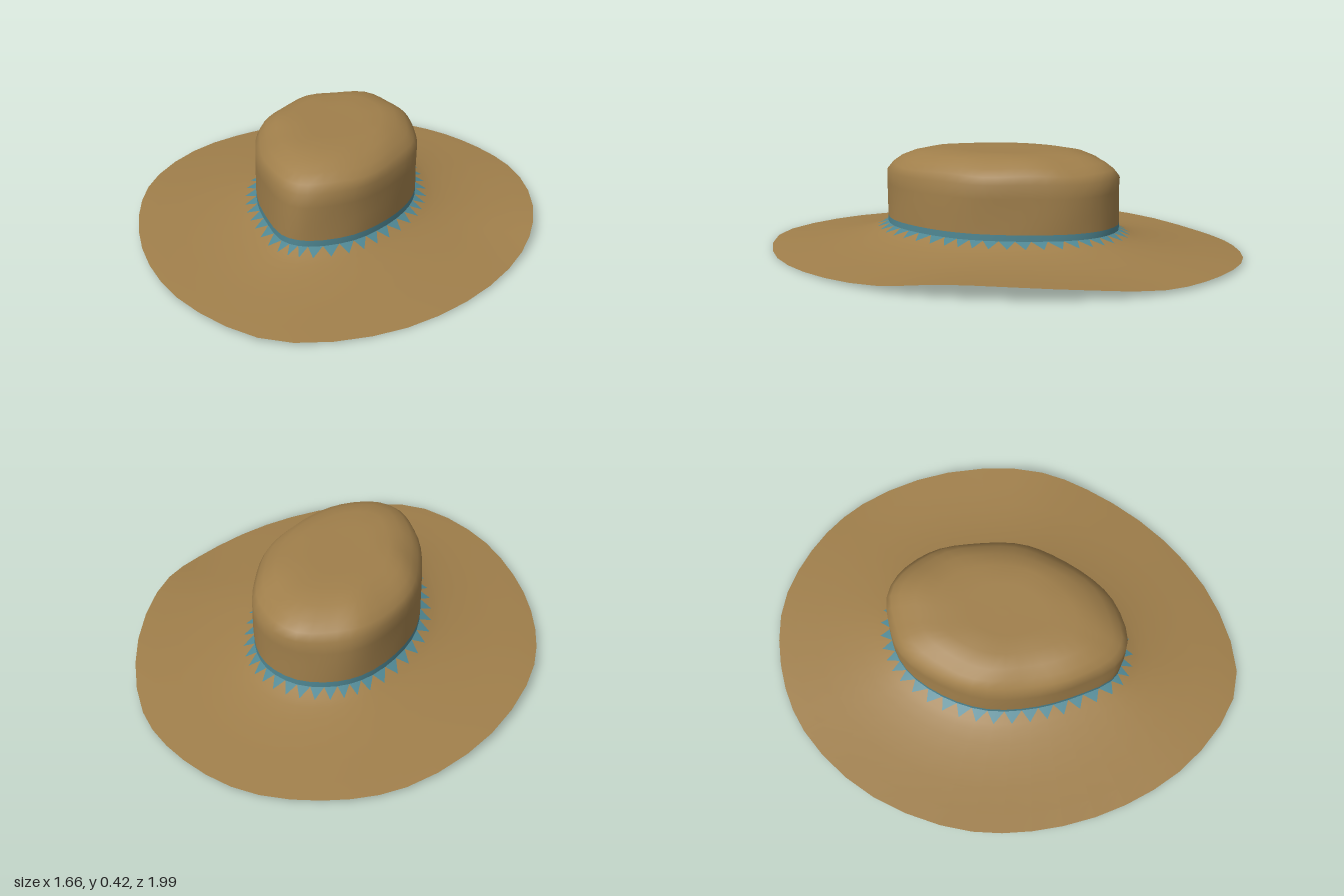
import * as THREE from 'three';

const N = 44; // segments around, one band point per segment

// Outlines run from the back, round by +x, to the front and back again: [x, z] or [x, z, y]
const crownOutline = [
  [0, -0.5], [0.14, -0.46], [0.24, -0.36], [0.305, -0.2], [0.335, -0.03], [0.32, 0.12], [0.25, 0.29], [0.15, 0.42],
  [0, 0.495], [-0.1, 0.475], [-0.21, 0.33], [-0.29, 0.17], [-0.335, -0.02], [-0.315, -0.2], [-0.24, -0.37], [-0.14, -0.46],
];
const brimOutline = [
  [0, -1, 0.015], [0.3, -0.93, 0.015], [0.54, -0.77, 0.015], [0.74, -0.45, 0.045], [0.83, -0.05, 0.055], [0.79, 0.25, 0.02],
  [0.62, 0.6, 0.005], [0.35, 0.87, 0.002], [0, 1, 0.012], [-0.34, 0.87, 0.018], [-0.6, 0.61, 0.018], [-0.77, 0.28, 0.03],
  [-0.83, -0.05, 0.042], [-0.75, -0.45, 0.03], [-0.54, -0.77, 0.01], [-0.3, -0.93, 0.012],
];
const loop = (pts) => new THREE.CatmullRomCurve3(pts.map(([x, z, y = 0]) => new THREE.Vector3(x, y, z)), true);
const crownCurve = loop(crownOutline);
const brimCurve = loop(brimOutline);

// One ring of N points; shift moves it round by part of a segment
function ring(pointAt, shift = 0) {
  return Array.from({ length: N }, (_, i) => pointAt(((i + shift) / N) % 1));
}

function crownRing(scale, y, wobble = 0) {
  return ring((t) => {
    const p = crownCurve.getPoint(t);
    const a = t * Math.PI * 2;
    const s = scale * (1 + wobble * (Math.sin(a * 5 + y * 20) + Math.sin(a * 8 + 1)));
    return new THREE.Vector3(p.x * s, y + wobble * 0.3 * Math.sin(a * 7), p.z * s);
  });
}

// Point on the brim: k = 0 at the crown, 1 at the edge
function brimRing(k, rise) {
  return ring((t) => {
    const p = crownCurve.getPoint(t).lerp(brimCurve.getPoint(t), k);
    const edge = Math.max(0, brimCurve.getPoint(t).y);
    return new THREE.Vector3(p.x, rise + edge * k * k, p.z);
  }, 0.5);
}

function build(points, index) {
  const g = new THREE.BufferGeometry().setFromPoints(points);
  g.setIndex(index);
  g.computeVertexNormals();
  return g;
}

// Quads between successive rings, ordered from the outside (or bottom) inwards
function strips(index, rings) {
  for (let r = 0; r < rings - 1; r++) {
    for (let i = 0; i < N; i++) {
      const a = r * N + i, b = r * N + ((i + 1) % N), c = a + N, d = b + N;
      index.push(a, c, b, b, c, d);
    }
  }
  return index;
}

export function createModel() {
  const felt = new THREE.MeshStandardMaterial({ color: 0xa07f4b, side: THREE.DoubleSide });
  felt.name = 'tan felt';
  const ribbon = new THREE.MeshStandardMaterial({ color: 0x4f8793, side: THREE.DoubleSide });
  ribbon.name = 'teal band';

  const hat = new THREE.Group();
  hat.name = 'hat';
  const add = (name, geometry, material) => {
    const mesh = new THREE.Mesh(geometry, material);
    mesh.name = name;
    hat.add(mesh);
  };

  const foot = crownRing(1, 0.105);
  const bandTop = crownRing(1, 0.13);
  const skirt = brimRing(0.1, 0.083);

  // Brim: broad rings, then triangles that fit between the points of the band
  const brimRings = [
    brimRing(1, 0), brimRing(0.85, 0.012), brimRing(0.65, 0.025),
    brimRing(0.45, 0.04), brimRing(0.28, 0.057), brimRing(0.17, 0.071), skirt,
  ];
  const brimIndex = strips([], brimRings.length);
  const inner = (brimRings.length - 1) * N;
  for (let i = 0; i < N; i++) {
    brimIndex.push(inner + ((i + N - 1) % N), inner + N + i, inner + i);
  }
  add('brim', build([...brimRings.flat(), ...foot], brimIndex), felt);

  // Band: upright ribbon with a jagged lower edge spread over the brim
  add('band', build([...foot, ...bandTop], strips([], 2)), ribbon);
  const jagged = [];
  for (let i = 0; i < N; i++) jagged.push(i, N + i, N + ((i + 1) % N));
  add('bandPoints', build([...skirt, ...foot], jagged), ribbon);

  // Crown: upright wall, rounded shoulder and flat top
  const crownRings = [
    bandTop, crownRing(1, 0.2, 0.003), crownRing(1, 0.27, 0.004), crownRing(1, 0.325, 0.006),
    crownRing(0.95, 0.355, 0.01), crownRing(0.87, 0.383, 0.012), crownRing(0.74, 0.408, 0.01),
    crownRing(0.57, 0.424), crownRing(0.33, 0.422),
  ];
  const crownIndex = strips([], crownRings.length);
  const last = (crownRings.length - 1) * N;
  for (let i = 0; i < N; i++) crownIndex.push(last + i, last + N, last + ((i + 1) % N));
  add('crown', build([...crownRings.flat(), new THREE.Vector3(0, 0.422, -0.01)], crownIndex), felt);

  // Two pointed folds hanging inside the crown
  const tip = new THREE.Vector3(0, 0.16, 0);
  const folds = [
    [new THREE.Vector3(0.13, 0.405, 0.26), new THREE.Vector3(-0.09, 0.42, 0.11)],
    [new THREE.Vector3(0, 0.42, -0.27), new THREE.Vector3(0.15, 0.415, -0.19)],
  ];
  for (const [a, b] of folds) add('innerFold', build([a, b, tip], [0, 1, 2]), felt);

  return hat;
}
